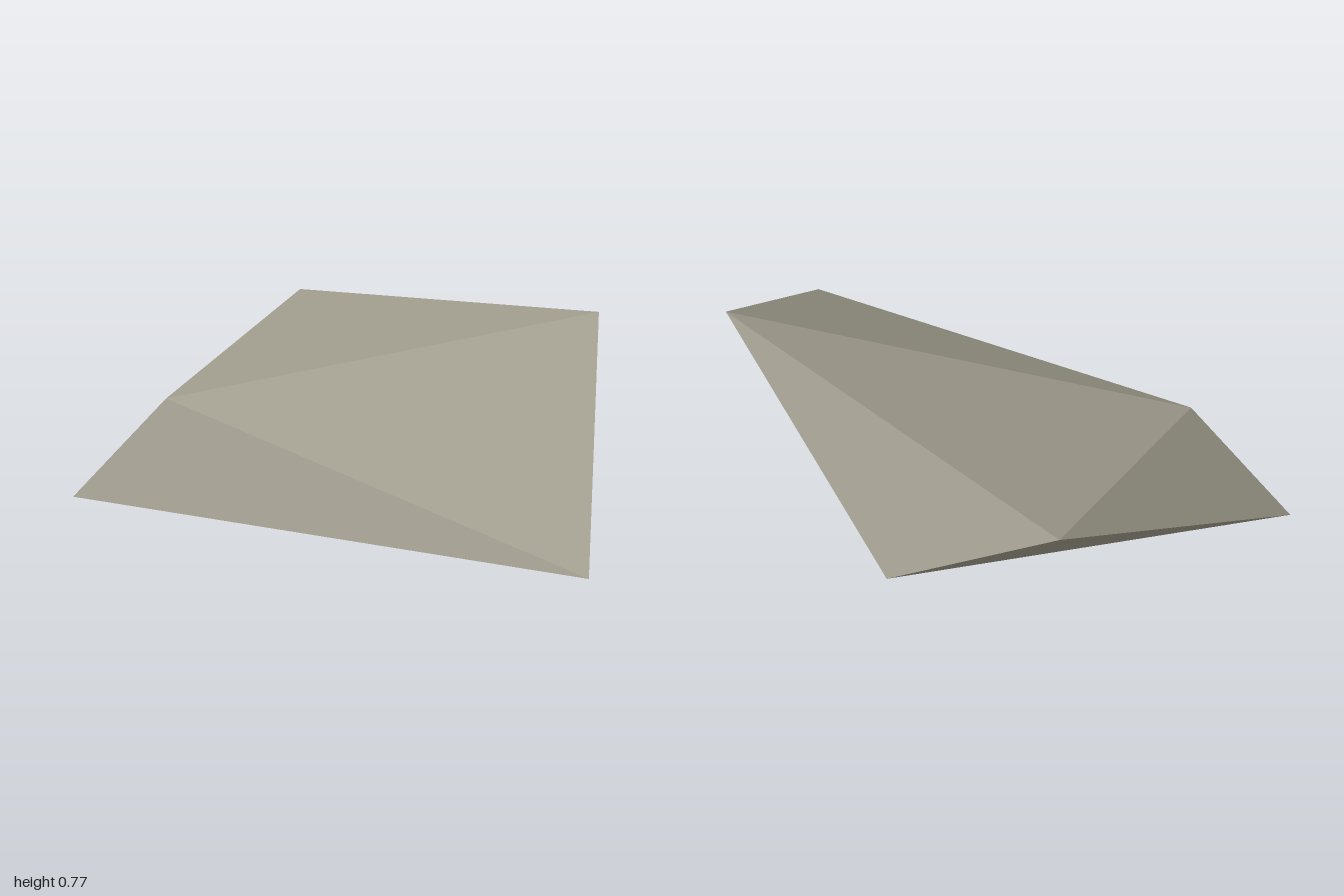
import * as THREE from 'three';
import { ConvexGeometry } from 'three/addons/geometries/ConvexGeometry.js';

export function createModel() {
  const group = new THREE.Group();
  group.name = 'rock';

  const stone = new THREE.MeshStandardMaterial({ color: 0x9c9889 });
  stone.name = 'stone';

  // Seven corners of the faceted boulder
  const corners = [
    [-1, 0.675, -0.385],      // upper right rim
    [0.305, 0.77, -0.69],     // peak at the back
    [-0.565, 0.47, 0.45],     // top ridge at the front
    [-0.825, 0.1, 0.685],     // front toe
    [1, 0.21, -0.01],         // left tip
    [0.3, 0, -0.37],          // ground point
    [-0.585, 0.355, -0.675],  // back corner
  ].map((c) => new THREE.Vector3(...c));

  // The hull has separate vertices per face, so every facet is flat
  const boulder = new THREE.Mesh(new ConvexGeometry(corners), stone);
  boulder.name = 'boulder';
  group.add(boulder);
  return group;
}
